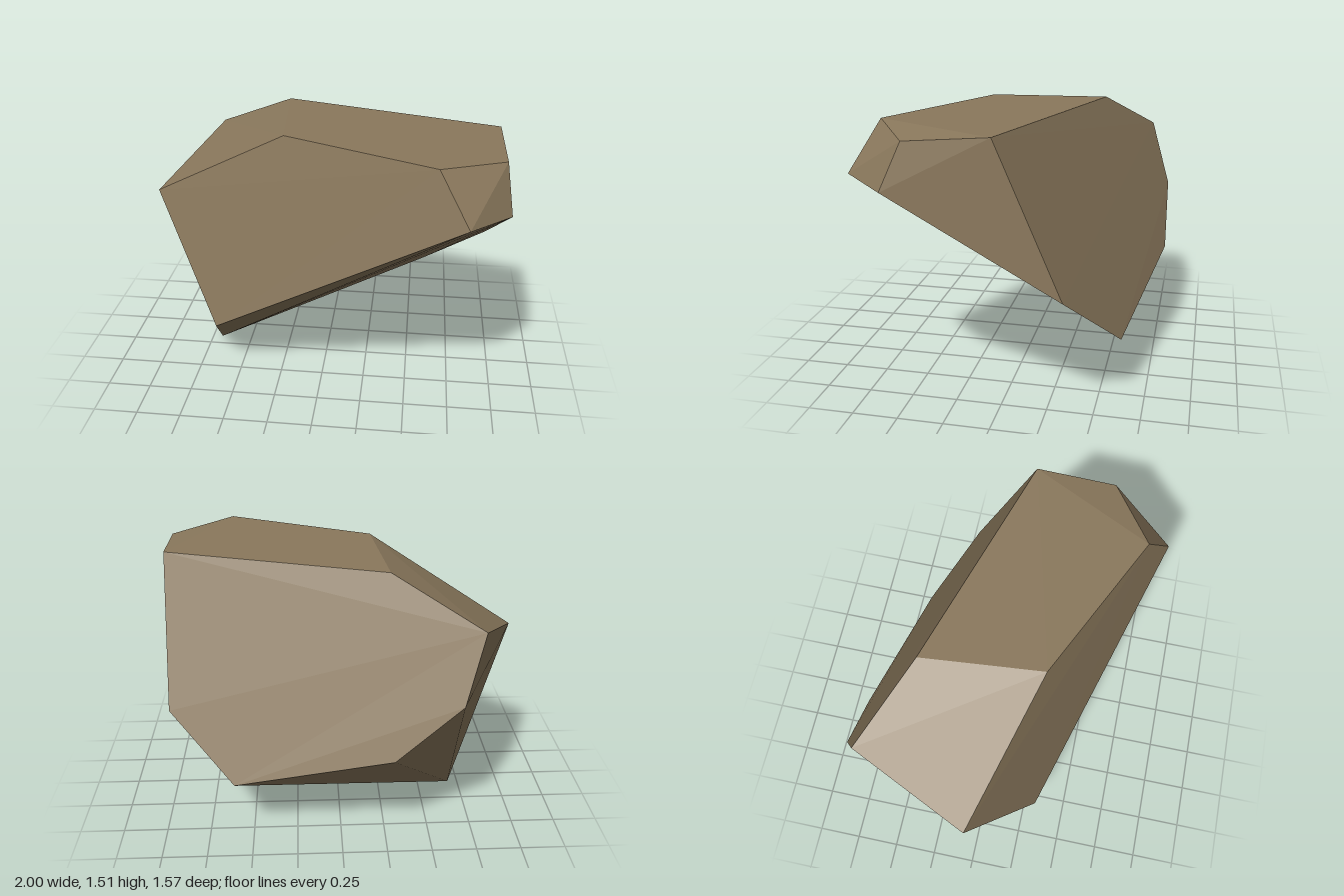
import * as THREE from 'three';
import { ConvexGeometry } from 'three/addons/geometries/ConvexGeometry.js';

export function createModel() {
  const group = new THREE.Group();
  group.name = 'rock';

  const stone = new THREE.MeshStandardMaterial({ color: 0x8a785c });
  stone.name = 'brown stone';

  // Corners of the faceted boulder, wrapped in a convex hull
  const corners = [
    // flat top
    [-0.2, 1.515, 0.26], [-0.26, 1.515, -0.4], [0.955, 1.515, -0.02], [0.62, 1.515, 0.65],
    // chipped front left corner
    [0.965, 1.48, 0.42], [1, 1.23, 0.53], [0.78, 1.255, 0.78],
    // right side
    [-1, 1.05, -0.01], [-0.62, 0.335, 0.322],
    // underside
    [-0.69, 0, -0.08], [0.59, 0.375, -0.62], [0.95, 0.71, -0.365],
    // sloping back
    [-0.73, 1.28, -0.65], [-0.62, 0.92, -0.768], [-0.27, 0.61, -0.785],
  ].map((p) => new THREE.Vector3(...p));

  const boulder = new THREE.Mesh(new ConvexGeometry(corners), stone);
  boulder.name = 'boulder';
  group.add(boulder);
  return group;
}
